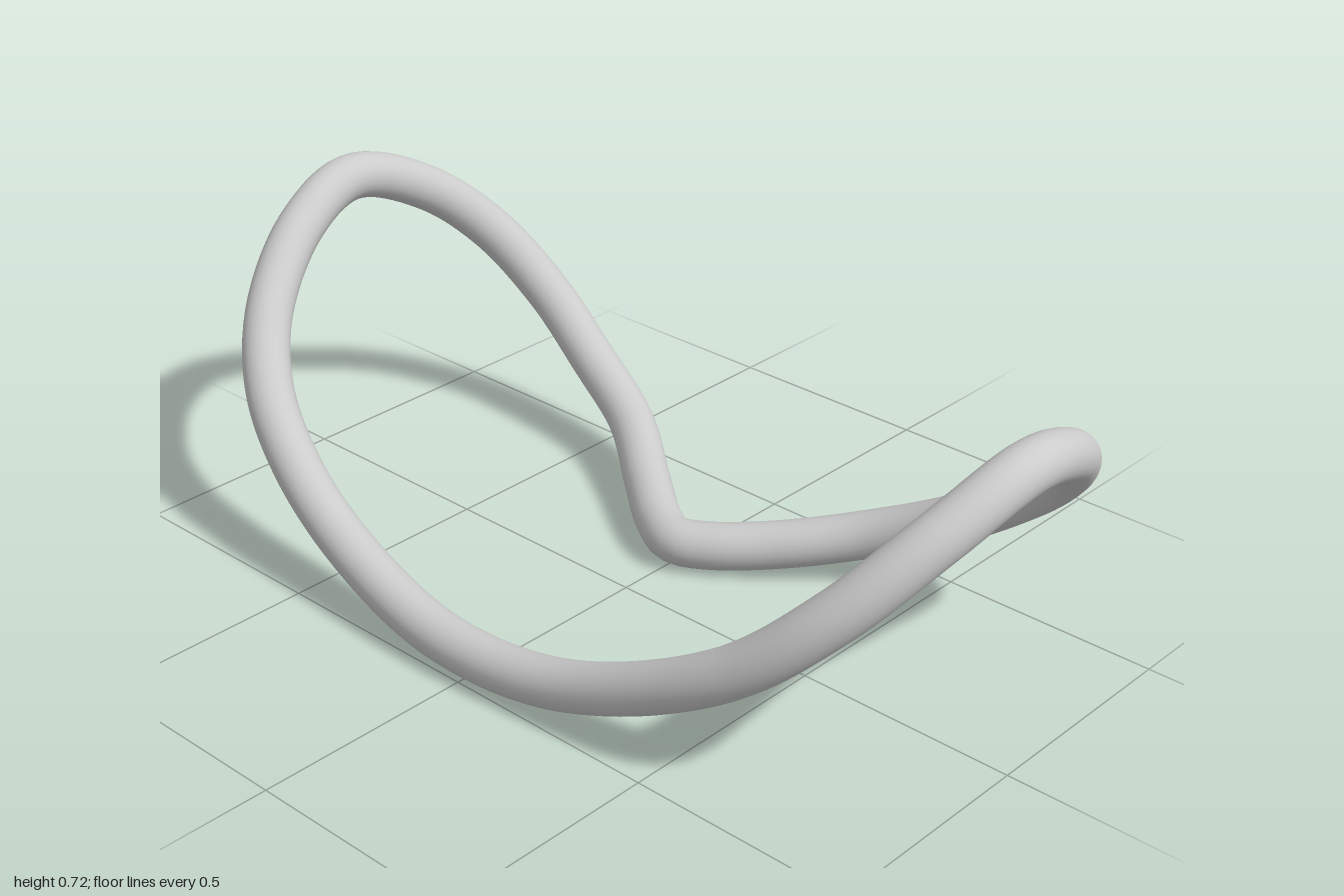
import * as THREE from 'three';

const TUBE_RADIUS = 0.053;

// Plan of the loop as [x, z], running round from the notch at the back
const PLAN = [
  [0, -0.157], [-0.075, -0.19], [-0.2, -0.285], [-0.37, -0.41], [-0.54, -0.46],
  [-0.7, -0.474], [-0.83, -0.415], [-0.91, -0.283], [-0.947, -0.09], [-0.92, 0.085],
  [-0.84, 0.257], [-0.735, 0.355], [-0.6, 0.405], [-0.4, 0.437], [-0.09, 0.463],
  [0.24, 0.447], [0.615, 0.39], [0.79, 0.297], [0.9, 0.135], [0.944, -0.06],
  [0.905, -0.27], [0.81, -0.42], [0.71, -0.464], [0.54, -0.45], [0.364, -0.388],
  [0.2, -0.275], [0.075, -0.187],
];

// The loop lies on a trough: a horizontal cylinder along z
const BEND = 1.05;
const bendHeight = (x) => TUBE_RADIUS + BEND - Math.sqrt(BEND ** 2 - (x - 0.009) ** 2);

export function createModel() {
  const group = new THREE.Group();
  group.name = 'bentLoop';

  const path = new THREE.CatmullRomCurve3(
    PLAN.map(([x, z]) => new THREE.Vector3(x, bendHeight(x), z)), true, 'centripetal');

  // Closed round tube following the path
  const tube = new THREE.Mesh(
    new THREE.TubeGeometry(path, 240, TUBE_RADIUS, 24, true),
    new THREE.MeshStandardMaterial({ color: 0xcccccc }));
  tube.name = 'tubeLoop';
  group.add(tube);
  return group;
}
